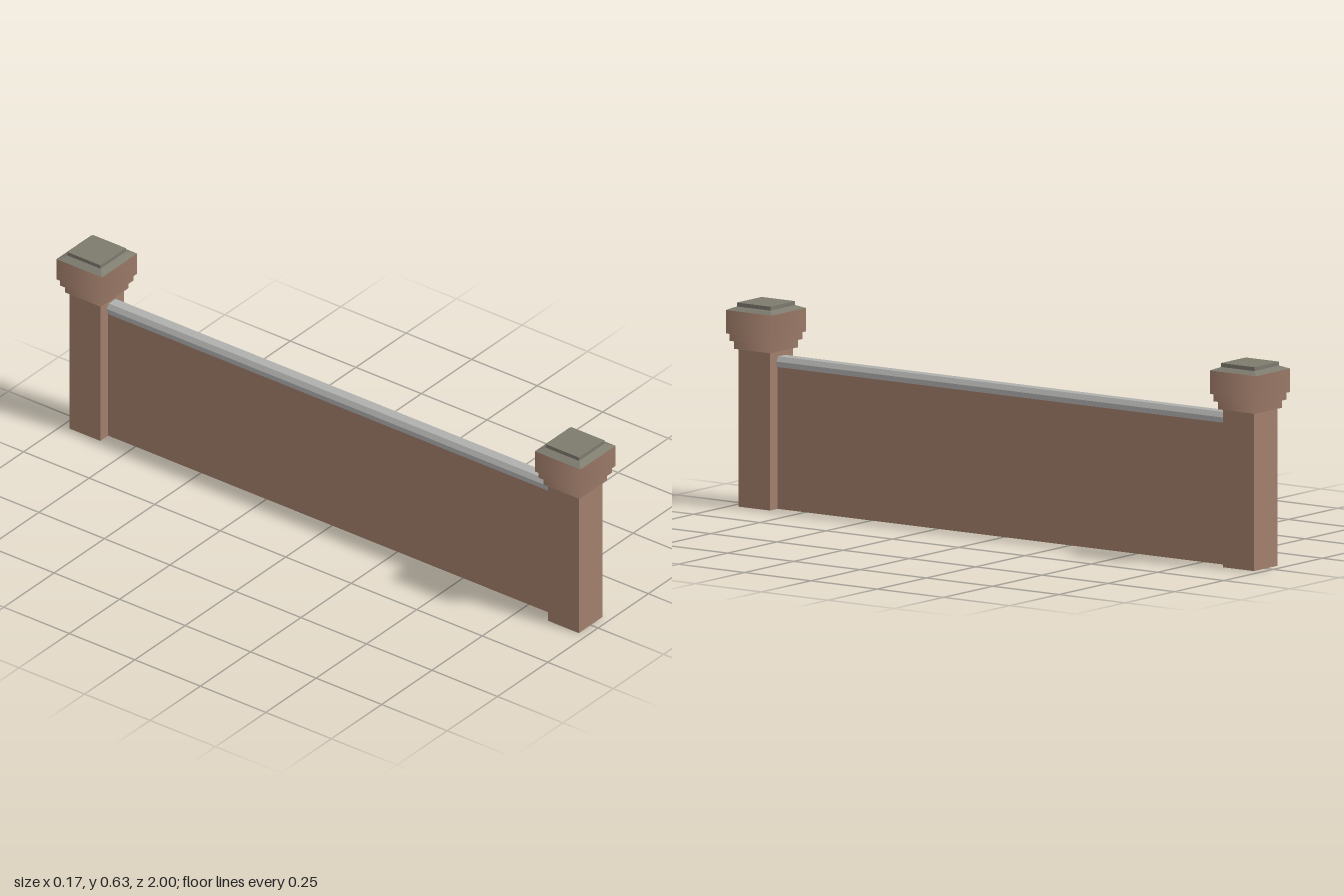
import * as THREE from 'three';

const brick = new THREE.MeshStandardMaterial({ name: 'brick brown', color: 0xa27f6c, side: THREE.DoubleSide });
const stone = new THREE.MeshStandardMaterial({ name: 'cap stone', color: 0x7d7a6e });
const coping = new THREE.MeshStandardMaterial({ name: 'coping grey', color: 0xb0b1af });

// Four-sided prism standing from y0 to y1; half-widths may differ at bottom and top.
function prism(name, material, bottom, top, y0, y1, { open = false, smooth = false, depth = 1 } = {}) {
  let geometry = new THREE.CylinderGeometry(top * Math.SQRT2, bottom * Math.SQRT2, y1 - y0, 4, 1, open);
  geometry.rotateY(Math.PI / 4);
  geometry.scale(1, 1, depth);
  if (!smooth) {
    geometry = geometry.toNonIndexed();
    geometry.computeVertexNormals();
  }
  geometry.translate(0, (y0 + y1) / 2, 0);
  const mesh = new THREE.Mesh(geometry, material);
  mesh.name = name;
  return mesh;
}

// Flat square plate facing down, under each projecting course.
function soffit(half, y) {
  const geometry = new THREE.PlaneGeometry(half * 2, half * 2);
  geometry.rotateX(Math.PI / 2);
  geometry.translate(0, y, 0);
  const mesh = new THREE.Mesh(geometry, stone);
  mesh.name = 'soffit';
  return mesh;
}

function createPost(name) {
  const post = new THREE.Group();
  post.name = name;
  post.add(prism('shaft', brick, 0.059, 0.059, 0, 0.486, { open: true }));

  // Stepped courses: half-width, bottom, top
  const courses = [
    ['lowerCollar', 0.069, 0.485, 0.51],
    ['upperCollar', 0.079, 0.51, 0.533],
    ['capBlock', 0.087, 0.533, 0.605],
  ];
  for (const [part, half, y0, y1] of courses) {
    post.add(prism(part, brick, half, half, y0, y1, { open: true, smooth: true }));
    post.add(soffit(half, y0));
  }

  // Sloped cap stone with a raised plate
  post.add(prism('capSlope', stone, 0.087, 0.063, 0.605, 0.615));
  post.add(prism('capPlate', stone, 0.063, 0.063, 0.614, 0.627));
  return post;
}

// Chamfered coping along the top of the wall
function createCoping() {
  const profile = new THREE.Shape([
    [-0.027, 0.437], [0.027, 0.437], [0.027, 0.453],
    [0.017, 0.468], [-0.017, 0.468], [-0.027, 0.453],
  ].map(([x, y]) => new THREE.Vector2(x, y)));
  const length = 1.72;
  const geometry = new THREE.ExtrudeGeometry(profile, { depth: length, bevelEnabled: false });
  geometry.translate(0, 0, -length / 2);
  const mesh = new THREE.Mesh(geometry, coping);
  mesh.name = 'coping';
  return mesh;
}

export function createModel() {
  const model = new THREE.Group();
  model.name = 'gardenWall';

  for (const side of [1, -1]) {
    const post = createPost(side > 0 ? 'frontPost' : 'backPost');
    post.position.z = side * 0.913;
    model.add(post);
  }

  const halfThickness = 0.02;
  model.add(prism('wall', brick, halfThickness, halfThickness, 0, 0.438, { open: true, depth: 0.858 / halfThickness }));
  model.add(createCoping());
  return model;
}
